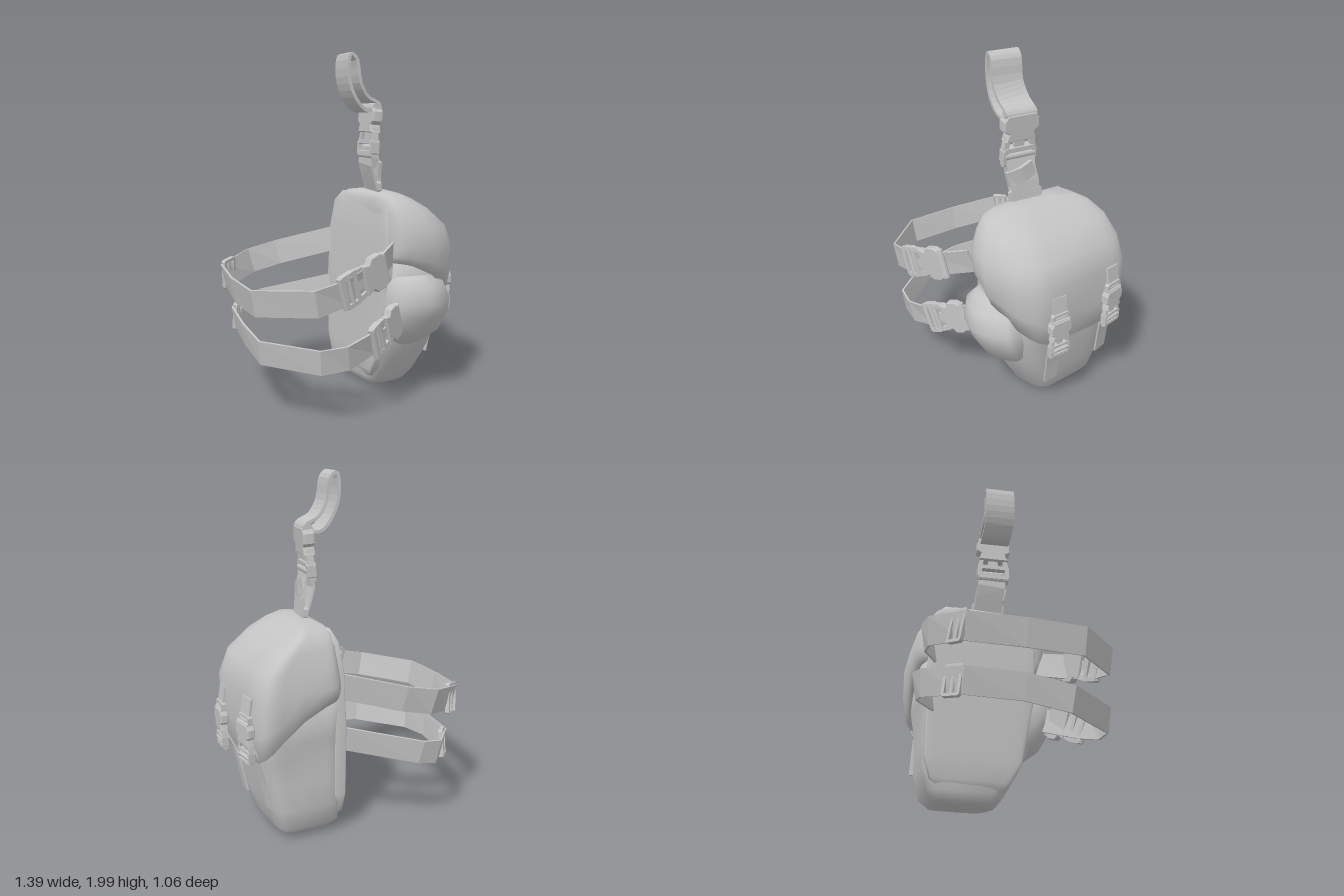
import * as THREE from 'three';

const V = (x, y, z) => new THREE.Vector3(x, y, z);
const fabric = new THREE.MeshStandardMaterial({ color: 0xc4c4c4, side: THREE.DoubleSide });
fabric.name = 'grey fabric';

function add(parent, name, geometry) {
  const mesh = new THREE.Mesh(geometry, fabric);
  mesh.name = name;
  parent.add(mesh);
  return mesh;
}

// Soft volume from rows [y, xInner, xOuter, zBack, zFront, drop towards the outer side];
// cut slants the outer front corner, flare pushes the outer back corner out
function loft(rows, { power, wrinkle = 0, cut = 0, flare = 0 }) {
  const n = 48, pos = [], index = [];
  const put = (x, y, z) => {
    const sheared = x + 0.15 * (z + 0.1);   // the bag sits slightly turned
    pos.push(sheared + wrinkle * Math.sin(9 * y + 6 * z), y, z + wrinkle * Math.sin(11 * y + 7 * x));
  };
  const curve = (c) => Math.sign(c) * Math.abs(c) ** (2 / power);
  for (const [y, x0, x1, z0, z1, drop = 0] of rows) {
    for (let j = 0; j < n; j++) {
      const a = (j / n) * Math.PI * 2;
      const u = curve(Math.cos(a)), v = curve(Math.sin(a)), size = (z1 - z0) / 0.8;
      const shift = v > 0 ? -cut * size * v * Math.max(u, 0) ** 1.5 : flare * size * v * u;
      put((x0 + x1) / 2 + u * (x1 - x0) / 2, y - drop * ((u + 1) / 2) ** 2, (z0 + z1) / 2 + v * (z1 - z0) / 2 + shift);
    }
  }
  const last = (rows.length - 1) * n, low = rows.length * n;
  for (const r of [rows[0], rows[rows.length - 1]])
    put((r[1] + r[2]) / 2, r[0] - (r[5] || 0) / 4, (r[3] + r[4]) / 2);
  for (let j = 0; j < n; j++) {
    const k = (j + 1) % n;
    for (let i = 0; i < last; i += n)
      index.push(i + j, i + n + j, i + k, i + k, i + n + j, i + n + k);
    index.push(low, j, k, low + 1, last + k, last + j);
  }
  const g = new THREE.BufferGeometry();
  g.setAttribute('position', new THREE.Float32BufferAttribute(pos, 3));
  g.setIndex(index);
  g.computeVertexNormals();
  return g;
}

// Flat webbing that follows a path; sideAt gives the direction of its width at a point
function band(p, width, sideAt, thick = 0.012, closed = false) {
  const n = p.length, pos = [];
  const rings = p.map((q, i) => {
    const before = closed ? p[(i + n - 1) % n] : p[Math.max(i - 1, 0)];
    const after = closed ? p[(i + 1) % n] : p[Math.min(i + 1, n - 1)];
    const t = after.clone().sub(before).normalize();
    const side = sideAt(q);
    const s = side.clone().addScaledVector(t, -side.dot(t)).normalize();
    const m = t.clone().cross(s);
    return [[1, 1], [-1, 1], [-1, -1], [1, -1]].map(([a, b]) =>
      q.clone().addScaledVector(s, a * width / 2).addScaledVector(m, b * thick / 2));
  });
  const quad = (a, b, c, d) => [a, b, c, a, c, d].forEach((q) => pos.push(q.x, q.y, q.z));
  for (let i = 0; i < (closed ? n : n - 1); i++) {
    const a = rings[i], b = rings[(i + 1) % n];
    for (let k = 0; k < 4; k++) {
      const l = (k + 1) % 4;
      quad(a[k], a[l], b[l], b[k]);
    }
  }
  if (!closed) {
    quad(...rings[0].slice().reverse());
    quad(...rings[n - 1]);
  }
  const g = new THREE.BufferGeometry();
  g.setAttribute('position', new THREE.Float32BufferAttribute(pos, 3));
  g.computeVertexNormals();
  return g;
}

const path = (points) => points.map((q) => V(...q));

function place(group, at, along, normal) {
  const y = along.clone().normalize();
  const x = y.clone().cross(normal).normalize();
  group.matrix.makeBasis(x, y, x.clone().cross(y)).setPosition(...at);
  group.matrix.decompose(group.position, group.quaternion, group.scale);
  return group;
}

// Rectangular ring with chamfered corners
function frame(w, h, depth, rim) {
  const outline = (target, a, b, c) => {
    const pts = [[-a + c, -b], [a - c, -b], [a, -b + c], [a, b - c], [a - c, b], [-a + c, b], [-a, b - c], [-a, -b + c]];
    return target.setFromPoints(pts.map((q) => new THREE.Vector2(...q)));
  };
  const shape = outline(new THREE.Shape(), w / 2, h / 2, rim * 0.6);
  shape.holes.push(outline(new THREE.Path(), w / 2 - rim, h / 2 - rim, rim * 0.2));
  return new THREE.ExtrudeGeometry(shape, { depth, bevelEnabled: false }).translate(0, 0, -depth / 2);
}

function crossBar(parent, w, y, r, z = 0) {
  const bar = add(parent, 'crossBar', new THREE.CylinderGeometry(r, r, w, 8).rotateZ(Math.PI / 2));
  bar.position.set(0, y, z);
}

// Strap adjuster: a ring with a centre bar
function slider(name, w, h) {
  const g = new THREE.Group();
  g.name = name;
  add(g, 'sliderFrame', frame(w, h, 0.025, 0.016));
  crossBar(g, w * 0.95, 0, 0.012);
  return g;
}

// Side release buckle: socket, prongs and ladder frame along local y
function buckle(name, w, len, depth) {
  const g = new THREE.Group();
  g.name = name;
  const a = w / 2, h = len / 2;
  const socket = new THREE.Shape([[-a * 0.8, h], [a * 0.8, h], [a, h * 0.8], [a, h * 0.45], [a * 0.7, h * 0.3],
    [a * 0.85, 0], [-a * 0.85, 0], [-a * 0.7, h * 0.3], [-a, h * 0.45], [-a, h * 0.8]].map((q) => new THREE.Vector2(...q)));
  add(g, 'socket', new THREE.ExtrudeGeometry(socket,
    { depth: depth * 0.6, bevelSize: 0.006, bevelThickness: depth * 0.2, bevelSegments: 2 }).translate(0, 0, -depth * 0.3));
  for (const s of [-1, 1]) {
    const prong = add(g, 'prong', new THREE.BoxGeometry(w * 0.14, len * 0.3, depth * 0.6));
    prong.position.set(s * a * 0.78, -len * 0.08, 0);
    prong.rotation.z = s * 0.15;
  }
  add(g, 'guide', new THREE.BoxGeometry(w * 0.3, len * 0.25, depth * 0.4)).position.y = -len * 0.08;
  add(g, 'ladderFrame', frame(w, len * 0.34, depth * 0.8, w * 0.13)).position.y = -len * 0.33;
  crossBar(g, w * 0.9, -len * 0.33, depth * 0.3, depth * 0.2);
  crossBar(g, w * 0.95, -len * 0.47, depth * 0.4);
  crossBar(g, w * 0.9, h, depth * 0.45);
  return g;
}

export function createModel() {
  const model = new THREE.Group();
  model.name = 'legBag';

  // Bag
  add(model, 'bagBody', loft([
    [0.005, 0.2, 0.36, -0.26, -0.04], [0.02, 0.15, 0.44, -0.35, 0.01], [0.07, 0.11, 0.48, -0.4, 0.05],
    [0.2, 0.1, 0.515, -0.43, 0.135], [0.35, 0.1, 0.545, -0.435, 0.21], [0.5, 0.1, 0.575, -0.445, 0.24],
    [0.6, 0.105, 0.59, -0.455, 0.26], [0.86, 0.11, 0.58, -0.46, 0.27]],
  { power: 6, wrinkle: 0.005, cut: 0.15, flare: 0.03 }));
  add(model, 'bagLid', loft([
    [0.84, 0.14, 0.57, -0.45, 0.24, 0.3], [0.81, 0.115, 0.605, -0.475, 0.285, 0.31], [0.85, 0.11, 0.625, -0.495, 0.31, 0.2],
    [0.9, 0.11, 0.63, -0.505, 0.32, 0.04], [1.0, 0.115, 0.58, -0.48, 0.315], [1.1, 0.12, 0.475, -0.445, 0.27],
    [1.16, 0.125, 0.375, -0.39, 0.22], [1.19, 0.15, 0.31, -0.33, 0.16], [1.205, 0.19, 0.26, -0.2, 0.05]],
  { power: 6, wrinkle: 0.005, cut: 0.2, flare: 0.045 }));
  add(model, 'sidePouch', loft([
    [0.29, 0.2, 0.38, 0.05, 0.17], [0.38, 0.12, 0.49, 0.05, 0.29], [0.5, 0.1, 0.52, 0.05, 0.36],
    [0.58, 0.1, 0.52, 0.05, 0.388], [0.68, 0.11, 0.48, 0.05, 0.368], [0.73, 0.15, 0.4, 0.05, 0.31]],
  { power: 2.6, cut: 0.25 }));
  add(model, 'backPad', loft([
    [0.08, 0.12, 0.17, -0.33, 0.04], [0.13, 0.095, 0.17, -0.38, 0.08], [0.25, 0.09, 0.17, -0.415, 0.15],
    [0.65, 0.09, 0.17, -0.42, 0.23], [0.95, 0.1, 0.17, -0.41, 0.24], [1.12, 0.12, 0.17, -0.38, 0.2],
    [1.18, 0.14, 0.18, -0.32, 0.14]], { power: 9 }));

  // Leg straps, leaning outwards, with their buckles and sliders
  const lean = (q) => V((q.x + 0.2) * 0.4, 1, q.z * 0.3);
  add(model, 'upperLegStrap', band(path([
    [0.07, 0.87, -0.38], [-0.27, 0.79, -0.47], [-0.45, 0.75, -0.46], [-0.655, 0.7, -0.3], [-0.675, 0.68, 0],
    [-0.65, 0.67, 0.3], [-0.38, 0.69, 0.52], [-0.2, 0.73, 0.5], [0, 0.8, 0.42], [0.17, 0.87, 0.27]]), 0.15, lean));
  add(model, 'lowerLegStrap', band(path([
    [0.07, 0.57, -0.38], [-0.36, 0.48, -0.51], [-0.47, 0.46, -0.49], [-0.6, 0.44, -0.3], [-0.62, 0.42, 0],
    [-0.6, 0.38, 0.24], [-0.35, 0.37, 0.5], [-0.2, 0.38, 0.51], [-0.03, 0.43, 0.46], [0.2, 0.53, 0.29]]), 0.14, lean));
  model.add(place(buckle('upperLegBuckle', 0.19, 0.33, 0.045), [-0.09, 0.775, 0.455], V(0.2, 0.07, -0.075), V(0.38, 0, 0.92)));
  model.add(place(buckle('lowerLegBuckle', 0.19, 0.27, 0.045), [0.07, 0.47, 0.4], V(0.23, 0.1, -0.15), V(0.55, 0, 0.85)));
  model.add(place(slider('upperSlider', 0.18, 0.1), [-0.62, 0.71, -0.335], V(0.2, 0.04, -0.15), V(-0.6, 0.1, -0.8)));
  model.add(place(slider('lowerSlider', 0.17, 0.1), [-0.57, 0.445, -0.345], V(0.14, 0.02, -0.2), V(-0.8, 0.1, -0.6)));

  // Hanger: belt loop, buckle and strap above the bag
  const depthwise = () => V(0, 0, 1);
  const loop = new THREE.CatmullRomCurve3(path([
    [0.18, 1.685, -0.02], [0.1, 1.672, -0.02], [0.03, 1.74, -0.01], [-0.012, 1.86, -0.01], [0, 1.985, -0.01],
    [0.035, 1.96, -0.01], [0.06, 1.83, -0.01], [0.11, 1.75, -0.02], [0.18, 1.71, -0.02]]), true);
  add(model, 'beltLoop', band(loop.getPoints(30).slice(0, 30), 0.18, depthwise, 0.018, true));
  model.add(place(buckle('hangerBuckle', 0.2, 0.28, 0.065), [0.16, 1.55, -0.025], V(0.02, 0.26, 0), V(1, 0, 0)));
  add(model, 'hangerStrap', band(path([
    [0.2, 1.18, -0.05], [0.165, 1.28, -0.045], [0.14, 1.36, -0.035], [0.145, 1.45, -0.03]]), 0.17, depthwise));
  add(model, 'hangerStrapFold', band(path([
    [0.21, 1.2, -0.05], [0.2, 1.3, -0.045], [0.185, 1.38, -0.03], [0.17, 1.45, -0.03]]), 0.17, depthwise));
  add(model, 'hangerFlap', band(path([[0.19, 1.33, 0.06], [0.2, 1.35, -0.03], [0.19, 1.38, -0.1]]), 0.09, () => V(0, 1, 0), 0.02));
  model.add(place(slider('hangerRing', 0.2, 0.06), [0.195, 1.23, -0.05], V(-0.02, 0.2, 0), V(1, 0, 0)));

  // Lid closures on the outer face
  for (const [dx, dy, z, slope] of [[0, 0, -0.01, 0.1], [-0.06, 0.05, -0.39, 0.3]]) {
    const closure = new THREE.Group();
    closure.name = 'lidClosure';
    const across = () => V(slope, 0, 1);
    add(closure, 'closureStrap', band(path([[0.645, 0.82, 0], [0.66, 0.72, 0], [0.66, 0.6, 0]]), 0.09, across));
    add(closure, 'closureTail', band(path([
      [0.645, 0.55, -0.005], [0.6, 0.45, -0.01], [0.57, 0.33, -0.02], [0.54, 0.18, -0.03]]), 0.085, across));
    closure.add(place(buckle('closureBuckle', 0.125, 0.22, 0.045), [0.662, 0.57, 0], V(0.01, 1, 0), V(1, 0, -slope)));
    closure.add(place(slider('closureSlider', 0.11, 0.06), [0.662, 0.7, 0], V(0, 1, 0), V(1, 0, -slope)));
    closure.position.set(dx, dy, z);
    model.add(closure);
  }
  return model;
}
